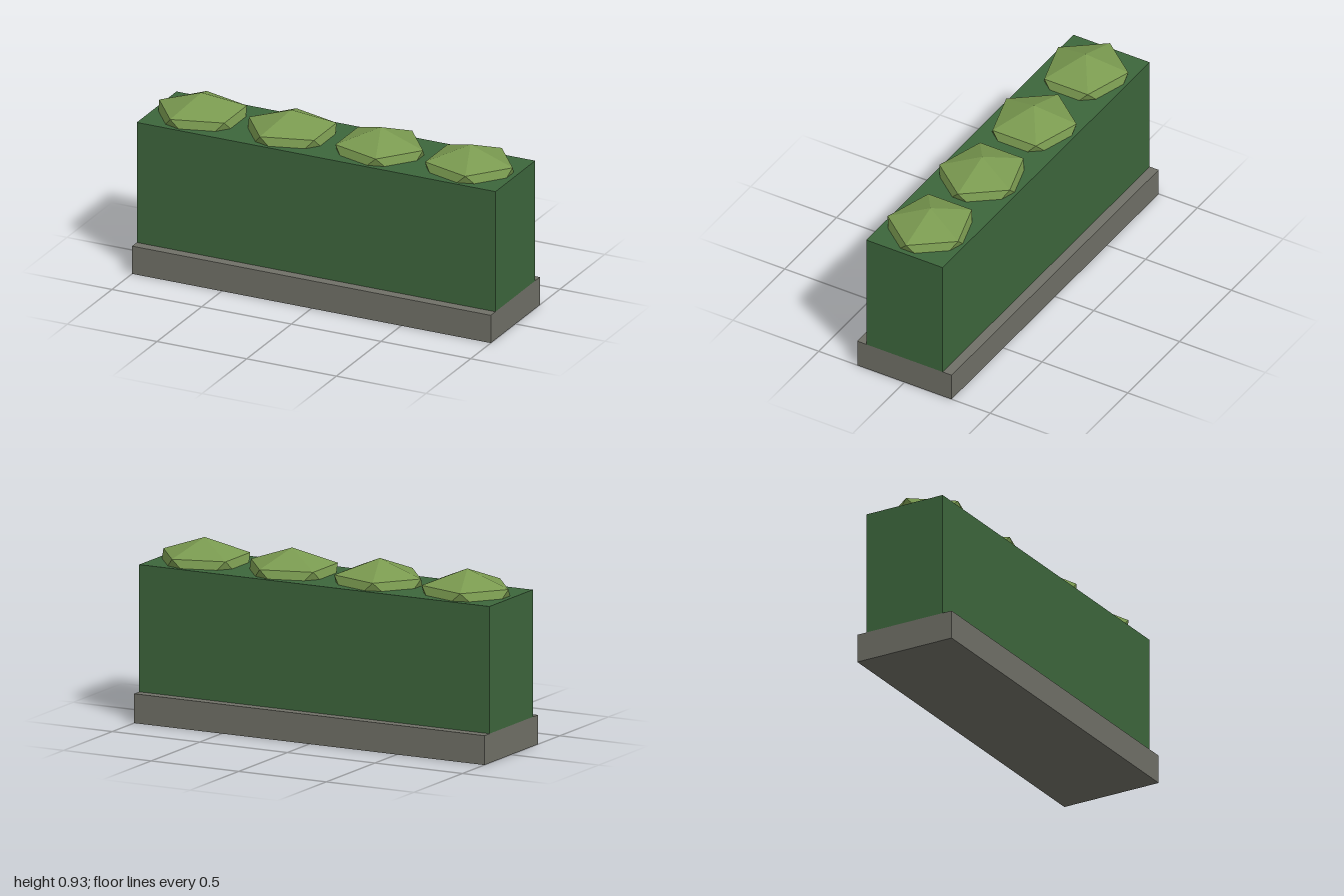
import * as THREE from 'three';

export function createModel() {
  const model = new THREE.Group();
  model.name = 'hedge';

  const mat = (name, color) => {
    const m = new THREE.MeshStandardMaterial({ color, flatShading: true });
    m.name = name;
    return m;
  };
  const stone = mat('grey stone', 0x707067);
  const leaf = mat('dark leaf green', 0x3d663c);
  const shoot = mat('light leaf green', 0x7a9a50);

  const add = (name, geometry, material, x, y) => {
    const mesh = new THREE.Mesh(geometry, material);
    mesh.name = name;
    mesh.position.set(x, y, 0);
    model.add(mesh);
  };

  // Stone kerb and clipped hedge body
  add('stoneBase', new THREE.BoxGeometry(2, 0.15, 0.55), stone, 0, 0.075);
  add('hedgeBody', new THREE.BoxGeometry(2, 0.65, 0.445), leaf, 0, 0.475);

  // Flattened leafy clumps, each with a corner upwards and one pointing to the near end
  const tilt = Math.atan(2 / (1 + Math.sqrt(5)));
  [-0.75, -0.25, 0.25, 0.75].forEach((x, i) => {
    const clump = new THREE.IcosahedronGeometry(1, 0);
    clump.rotateZ(-Math.sign(x) * tilt);
    clump.scale(0.263, 0.149, 0.241);
    clump.computeVertexNormals();
    add('leafClump' + (i + 1), clump, shoot, x, 0.776);
  });

  return model;
}
